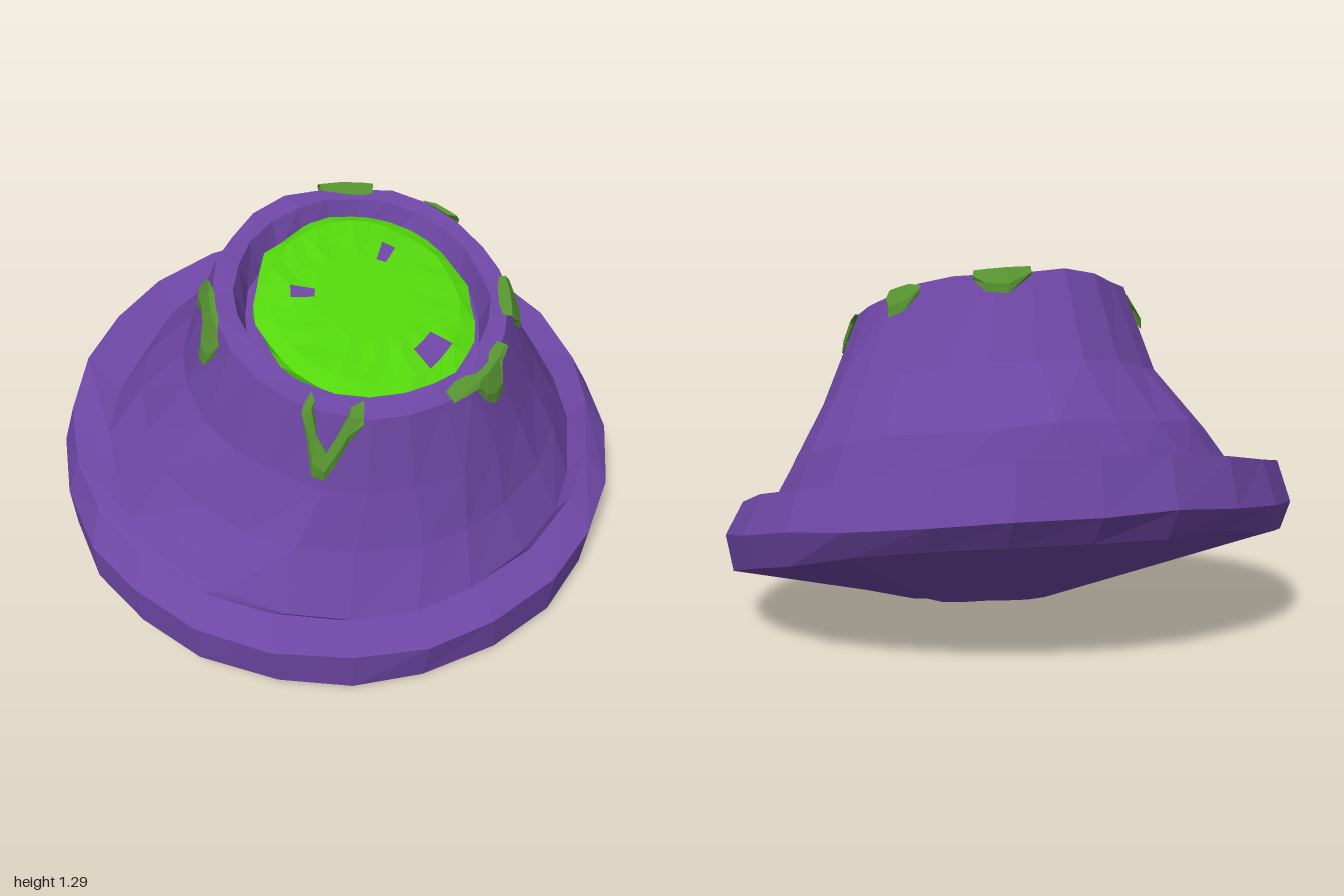
import * as THREE from 'three';

const SEG = 24;

// small seeded generator for the uneven, hand-hewn look
function seeded(seed) {
  let s = seed;
  return () => {
    s = (s * 16807) % 2147483647;
    return s / 2147483647 - 0.5;
  };
}

// Tilted oval rings: centre x, centre z, radius, centre height, slope in x, slope in z, roughness, diagonal stretch
const UNDERSIDE = [
  [0.2, 0.15, 0.001, 0.0, 0, 0, 0, 0],
  [0.18, 0.14, 0.3, 0.022, -0.06, -0.06, 0.008, 0.045],
  [0.005, 0.01, 0.968, 0.222, -0.175, -0.172, 0.012, 0.06],
];
const WALL_END = [0.11, 0.06, 0.605, 0.82, -0.2, -0.17, 0.014, 0.045];
const FLANK = [
  [-0.005, -0.005, 1.0, 0.352, -0.138, -0.135, 0.01, 0.045],
  [-0.03, -0.02, 0.925, 0.47, -0.195, -0.195, 0.012, 0.07],
  [0.04, 0.06, 0.82, 0.452, -0.172, -0.178, 0.02, 0.055],
  [0.05, 0.03, 0.73, 0.62, -0.172, -0.165, 0.02, 0.045],
  WALL_END,
];
const RIM = [0.14, 0.12, 0.485, 1.112, -0.26, -0.24, 0.012, 0.045];
const RIM_INNER = [0.14, 0.11, 0.42, 1.117, -0.26, -0.24, 0.012, 0.045];
const WELL = [
  RIM,
  RIM_INNER,
  [0.14, 0.11, 0.39, 1.01, -0.26, -0.24, 0.01, 0.045],
  [0.14, 0.11, 0.001, 1.01, -0.26, -0.24, 0, 0],
];
const PROFILE = [...UNDERSIDE, ...FLANK, ...WELL];

function ringPoint(ring, angle) {
  const [cx, cz, r, y, sx, sz, , stretch] = ring;
  const c = Math.cos(angle) * r, s = Math.sin(angle) * r;
  const dx = c - stretch * s, dz = s - stretch * c;
  return new THREE.Vector3(cx + dx, Math.max(0.008, y + sx * dx + sz * dz), cz + dz);
}

function flatGeometry(positions, index) {
  const indexed = new THREE.BufferGeometry();
  indexed.setAttribute('position', new THREE.Float32BufferAttribute(positions, 3));
  indexed.setIndex(index);
  const g = indexed.toNonIndexed();
  g.computeVertexNormals();
  return g;
}

// Skin through the tilted rings, from the underside up and over into the well
function bodyGeometry() {
  const rand = seeded(41);
  const positions = [], index = [];
  PROFILE.forEach((ring) => {
    const rough = ring[6];
    for (let j = 0; j < SEG; j++) {
      const angle = ((j + rand() * rough * 10) / SEG) * Math.PI * 2;
      const p = ringPoint(ring, angle);
      p.x += rand() * rough;
      p.y = Math.max(0, p.y + rand() * rough * 1.3);
      p.z += rand() * rough;
      positions.push(p.x, p.y, p.z);
    }
  });
  for (let i = 0; i < PROFILE.length - 1; i++) {
    for (let j = 0; j < SEG; j++) {
      const k = (j + 1) % SEG;
      const a = i * SEG + j, b = i * SEG + k, c = a + SEG, d = b + SEG;
      index.push(a, c, b, b, c, d);
    }
  }
  return flatGeometry(positions, index);
}

// Low ragged dome of slime on the slope of the well, with a few cells left open
function slimeGeometry() {
  const rand = seeded(97);
  const n = 32;
  // radius and height above the slope, from the skirt inwards
  const rings = [[0.375, -0.05], [0.378, -0.012], [0.33, 0.012], [0.25, 0.018], [0.17, 0.022], [0.001, 0.022]];
  const gaps = new Set(['2:0', '2:1', '3:23', '3:13']);
  const positions = [], index = [];
  rings.forEach(([r, h], i) => {
    for (let j = 0; j < n; j++) {
      const a = (j / n) * Math.PI * 2;
      const ragged = i < 2 ? 0.022 : 0.008;
      const rr = i === rings.length - 1 ? r : r + rand() * ragged;
      const dx = Math.cos(a) * rr, dz = Math.sin(a) * rr;
      const y = 1.075 + h - 0.25 * dx - 0.225 * dz + (i < 4 ? rand() * 0.01 : 0);
      positions.push(0.14 + dx, y, 0.1 + dz);
    }
  });
  for (let i = 0; i < rings.length - 1; i++) {
    for (let j = 0; j < n; j++) {
      if (gaps.has(`${i}:${j}`)) continue;
      const k = (j + 1) % n;
      const a = i * n + j, b = i * n + k, c = a + n, d = b + n;
      index.push(a, c, b, b, c, d);
    }
  }
  return flatGeometry(positions, index);
}

// Point on the rim and outer wall: t = -1 inner rim, 0 outer rim, 1 the wall ring below
function wallPoint(degrees, t, lift) {
  const a = THREE.MathUtils.degToRad(degrees);
  const p = ringPoint(RIM, a).lerp(ringPoint(t < 0 ? RIM_INNER : WALL_END, a), Math.abs(t));
  const out = t < 0 ? 0 : lift;
  p.x += Math.cos(a) * out;
  p.z += Math.sin(a) * out;
  p.y += t <= 0 ? lift : lift * 0.4;
  return p;
}

// Ribbon folded over the rim, from columns of [angle, upper t, lower t]
function dripGeometry(columns) {
  const positions = [], index = [];
  columns.forEach(([deg, top, bottom]) => {
    const fold = Math.max(top, 0);
    const rows = [[top, 0.01], [fold, 0.012], [fold + (bottom - fold) * 0.65, 0.02], [bottom, 0.008]];
    rows.forEach(([t, lift]) => positions.push(...wallPoint(deg, t, lift).toArray()));
  });
  for (let i = 0; i < columns.length - 1; i++) {
    for (let j = 0; j < 3; j++) {
      const a = i * 4 + j, b = a + 1, c = a + 4, d = c + 1;
      index.push(a, c, b, b, c, d);
    }
  }
  return flatGeometry(positions, index);
}

const DRIPS = {
  frontRightDrip: [[161, 0.2, 0.47], [155, 0.02, 0.45], [148, -0.1, 0.26], [140, -0.1, 0.28], [135, -0.1, 0.54], [130, 0.02, 0.52], [126, 0.1, 0.22]],
  frontLongDrip: [[84, -0.7, 0.12], [81, -0.3, 0.42], [78, 0.3, 0.86], [74, 0.5, 0.88], [71, 0.25, 0.66], [67, -0.4, 0.32], [62, -0.8, 0.08]],
  leftDrip: [[28, -0.4, 0.02], [22, -0.6, 0.03], [16, -0.5, 0.06], [13, -0.3, 0.3], [9, -0.2, 0.42], [4, -0.2, 0.38], [0, -0.4, 0.06], [-7, -0.3, 0.02]],
  backLeftDrip: [[-21, -0.3, 0.08], [-26, -0.5, 0.36], [-33, -0.5, 0.38], [-41, -0.2, 0.1]],
  backDrip: [[-76, 0, 0.12], [-79, -0.15, 0.3], [-86, -0.1, 0.28], [-92, 0.03, 0.12]],
  backRightDrip: [[-113, -0.7, 0.08], [-118, -0.95, 0.22], [-126, -0.85, 0.26], [-135, -0.4, 0.08]],
};

export function createModel() {
  const purple = new THREE.MeshStandardMaterial({ color: 0x6d46a3, flatShading: true });
  purple.name = 'purple rock';
  const slimeGreen = new THREE.MeshStandardMaterial({ color: 0x53d60c, flatShading: true });
  slimeGreen.name = 'bright slime green';
  const dripGreen = new THREE.MeshStandardMaterial({ color: 0x569330, flatShading: true, side: THREE.DoubleSide });
  dripGreen.name = 'dull drip green';

  const model = new THREE.Group();
  model.name = 'slimeCrater';
  const add = (name, geometry, material) => {
    const mesh = new THREE.Mesh(geometry, material);
    mesh.name = name;
    model.add(mesh);
  };

  add('craterBody', bodyGeometry(), purple);
  add('slimePool', slimeGeometry(), slimeGreen);
  for (const [name, columns] of Object.entries(DRIPS)) add(name, dripGeometry(columns), dripGreen);
  return model;
}
